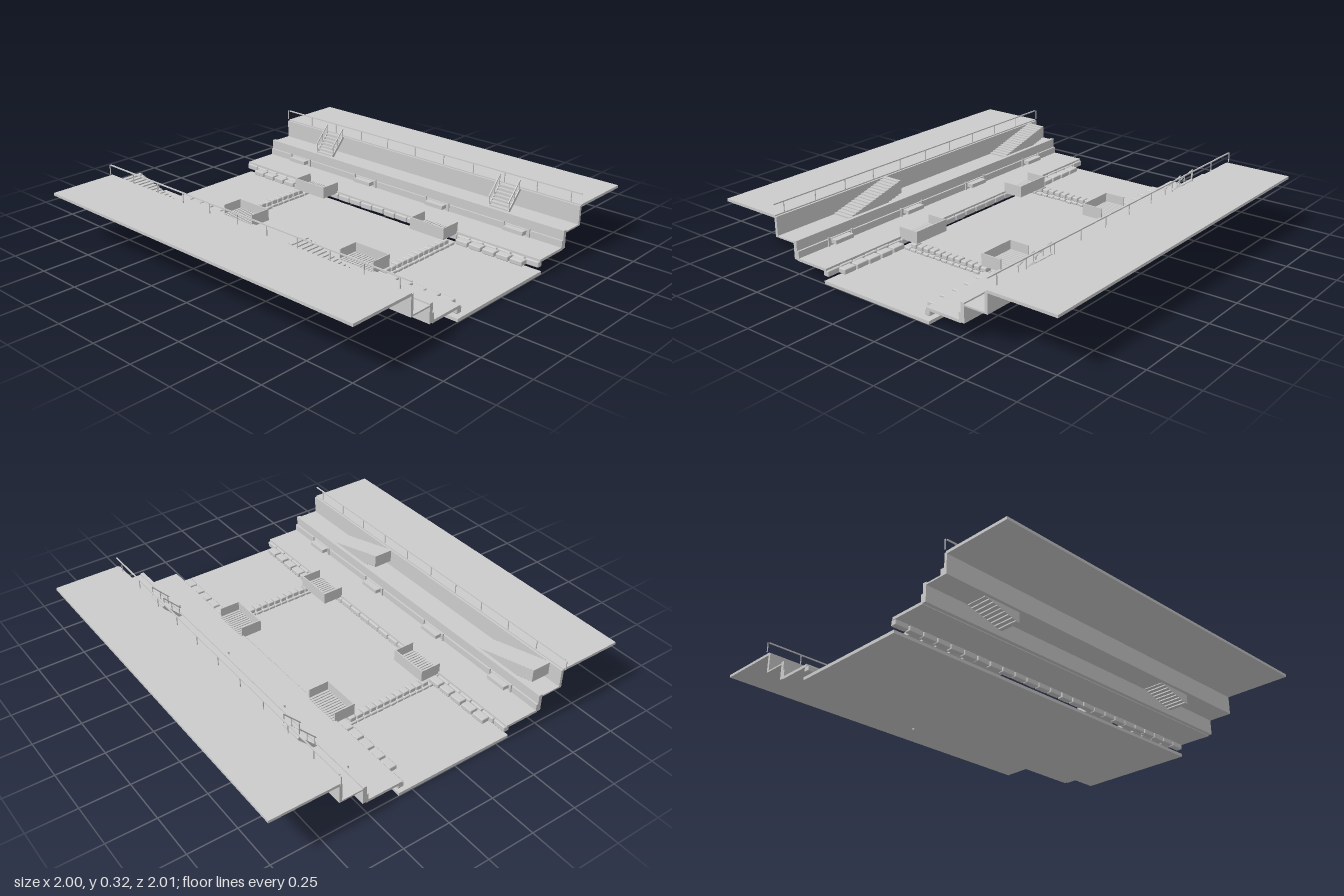
import * as THREE from 'three';
import { RoundedBoxGeometry } from 'three/addons/geometries/RoundedBoxGeometry.js';

export function createModel() {
  const group = new THREE.Group();
  const concrete = new THREE.MeshStandardMaterial({ color: 0xcccccc });
  concrete.name = 'concrete grey';

  // Small seeded generator for stone irregularity
  let seed = 7;
  const rand = () => (seed = (seed * 16807) % 2147483647) / 2147483647;

  const add = (name, geometry, parent = group) => {
    const mesh = new THREE.Mesh(geometry, concrete);
    mesh.name = name;
    parent.add(mesh);
    return mesh;
  };
  // Box given by its minimum and maximum on each axis
  const box = (name, x0, x1, y0, y1, z0, z1, parent = group) => {
    const mesh = add(name, new THREE.BoxGeometry(Math.abs(x1 - x0), y1 - y0, z1 - z0), parent);
    mesh.position.set((x0 + x1) / 2, (y0 + y1) / 2, (z0 + z1) / 2);
    return mesh;
  };
  const stone = (name, x, y, z, w, h, d, parent) => {
    const mesh = add(name, new RoundedBoxGeometry(w, h, d, 1, 0.005), parent);
    mesh.position.set(x, y + (rand() - 0.5) * 0.003, z);
    mesh.rotation.set((rand() - 0.5) * 0.05, (rand() - 0.5) * 0.06, (rand() - 0.5) * 0.05);
    return mesh;
  };
  const makeGroup = (name) => {
    const g = new THREE.Group();
    g.name = name;
    group.add(g);
    return g;
  };

  // Channel floor
  box('channelFloor', -0.325, 0.325, 0, 0.016, -1, 1);

  // Terraced banks, mirrored on both sides
  for (const s of [-1, 1]) {
    const bank = makeGroup(s < 0 ? 'rightBank' : 'leftBank');
    box('street', s * 0.645, s * 1, 0.246, 0.26, -1, 1, bank);
    box('upperWall', s * 0.635, s * 0.65, 0.15, 0.254, -1, 1, bank);
    box('ledge', s * 0.52, s * 0.64, 0.15, 0.158, -1, 1, bank);
    box('lowerWall', s * 0.505, s * 0.525, 0.07, 0.165, -1, 1, bank);
    box('wallFooting', s * 0.495, s * 0.508, 0.07, 0.115, -1, 1, bank);
    box('promenade', s * 0.31, s * 0.505, 0.066, 0.08, -1, 1, bank);

    // Street railing
    box('handrail', s * 0.646, s * 0.652, 0.31, 0.316, -1, 1, bank);
    for (let i = 0; i < 11; i++) {
      const z = 0.94 - i * 0.195;
      box('railPost', s * 0.647, s * 0.651, 0.26, 0.312, z - 0.002, z + 0.002, bank);
    }

    // Benches and slim wall posts along the promenade
    for (const z of [-0.755, -0.255, 0.245, 0.74]) {
      box('bench', s * 0.46, s * 0.5, 0.092, 0.112, z - 0.057, z + 0.057, bank);
      for (const e of [-0.075, 0.075])
        box('wallPost', s * 0.488, s * 0.496, 0.08, 0.125, z + e - 0.004, z + e + 0.004, bank);
    }

    // Edge stones: continuous outer row, inner row beyond the lookouts
    const edge = makeGroup('edgeStones');
    for (let i = 0; i < 25; i++) {
      const z = -0.96 + i * 0.08;
      stone('outerStone', s * 0.314, 0.055, z, 0.032, 0.03, 0.074 + rand() * 0.004, edge);
      if (Math.abs(z) > 0.51 && Math.abs(z) < 0.95)
        stone('innerStone', s * 0.277, 0.053, z + 0.02, 0.044, 0.026, 0.07, edge);
    }

    // Lookout platforms with slatted decks, open toward the promenade
    for (const z of [-0.405, 0.405]) {
      const lookout = makeGroup('lookout');
      const a = z - 0.106, b = z + 0.106;
      box('deck', s * 0.205, s * 0.325, 0.068, 0.078, a, b, lookout);
      for (let i = 0; i < 12; i++) {
        const c = a + 0.013 + i * 0.0168;
        box('deckSlat', s * 0.21, s * 0.325, 0.078, 0.083, c - 0.006, c + 0.006, lookout);
      }
      box('innerParapet', s * 0.203, s * 0.209, 0.068, 0.13, a, b, lookout);
      box('endParapet', s * 0.203, s * 0.318, 0.068, 0.13, a, a + 0.006, lookout);
      box('endParapet', s * 0.203, s * 0.318, 0.068, 0.13, b - 0.006, b, lookout);
    }
  }

  // Two rows of stepping stones across the channel
  for (const z of [-0.505, 0.5]) {
    const crossing = makeGroup('steppingStones');
    for (let i = 0; i < 14; i++) {
      const x = -0.26 + i * 0.04;
      stone('baseStone', x, 0.032, z, 0.037, 0.015, 0.055, crossing);
      if (Math.abs(x) < 0.25) stone('topStone', x, 0.053, z, 0.034, 0.024, 0.042, crossing);
    }
  }

  // Long stairs along the bank, rising toward the back
  for (const zFoot of [-0.56, 0.645]) {
    const stairs = makeGroup('longStairs');
    const n = 16, run = 0.365 / n;
    for (let i = 0; i < n; i++) {
      const top = 0.16 + (i + 1) * (0.096 / n);
      box('longStep', -0.633, -0.526, top - 0.068, top, zFoot - (i + 1) * run, zFoot - i * run, stairs);
    }
  }

  // Steep stairs climbing straight up the opposite bank
  for (const z of [-0.605, 0.6]) {
    const stairs = makeGroup('steepStairs');
    const n = 7;
    for (let i = 0; i < n; i++) {
      const x = 0.535 + i * 0.0135, y = 0.158 + i * 0.0145;
      box('steepStep', x, x + 0.016, y, y + 0.01, z - 0.06, z + 0.06, stairs);
    }
    for (const e of [-0.06, 0.06]) {
      const stringer = add('stairStringer', new THREE.BoxGeometry(0.14, 0.014, 0.005), stairs);
      stringer.position.set(0.58, 0.204, z + e);
      stringer.rotation.z = 0.82;
      const rail = add('stairHandrail', new THREE.BoxGeometry(0.135, 0.005, 0.005), stairs);
      rail.position.set(0.578, 0.257, z + e);
      rail.rotation.z = 0.82;
      for (const t of [0, 1, 2]) {
        const x = 0.54 + t * 0.04, y = 0.162 + t * 0.043;
        box('stairRailPost', x - 0.002, x + 0.002, y, y + 0.054, z + e - 0.002, z + e + 0.002, stairs);
      }
    }
    // Lower steps through the retaining wall
    for (let i = 0; i < 4; i++)
      box('lowerStep', 0.5 + i * 0.008, 0.522 + i * 0.009, 0.104 + i * 0.011, 0.113 + i * 0.011, z - 0.06, z + 0.06, stairs);
  }

  // Niche below the ledge in the middle of the steep-stair bank
  box('ledgeNiche', 0.625, 0.645, 0.125, 0.155, -0.08, 0.08);

  return group;
}
